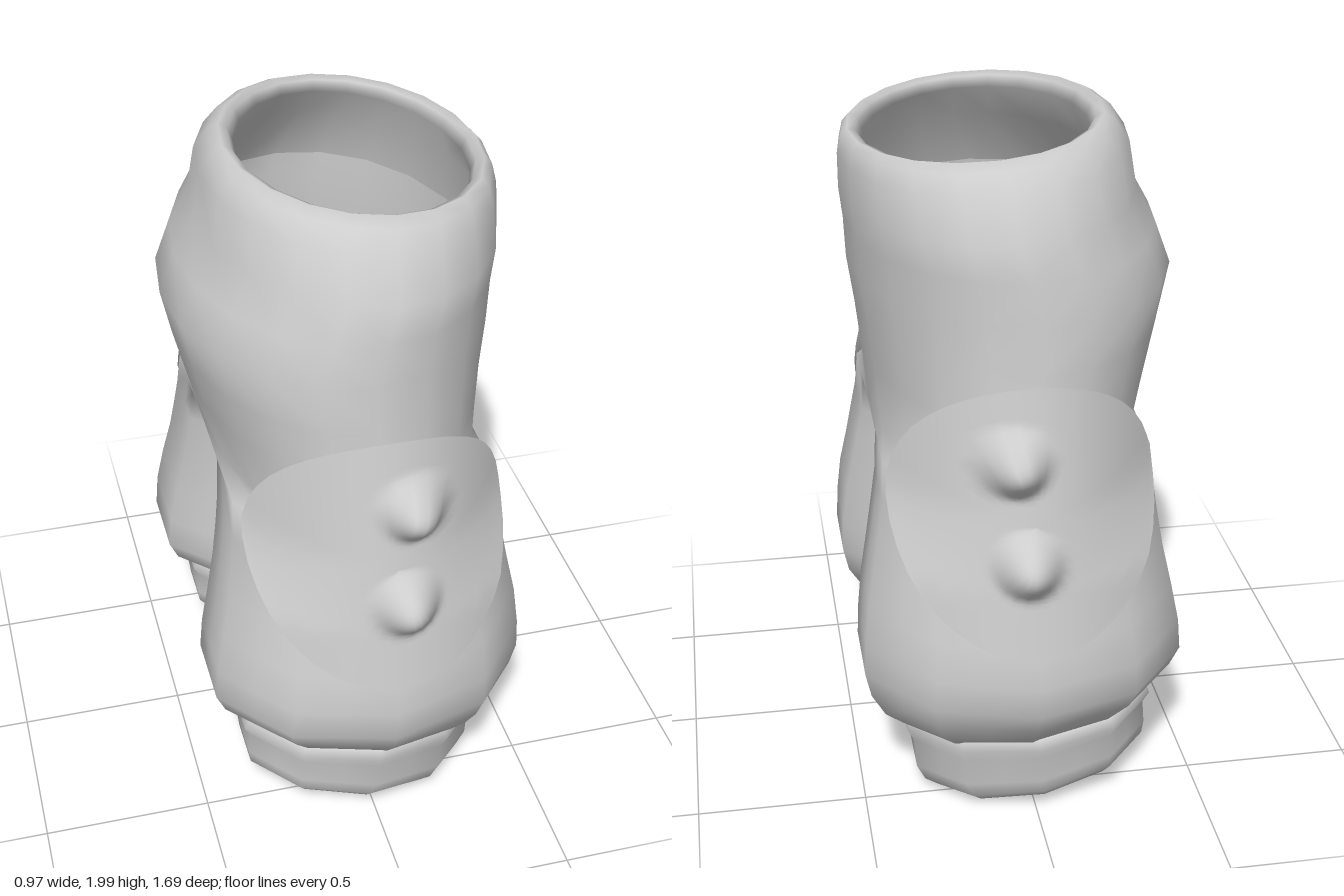
import * as THREE from 'three';
import { mergeGeometries, mergeVertices } from 'three/addons/utils/BufferGeometryUtils.js';

// Cross-section rows, top to bottom: [y, slope along x, cx, rx, zc, outer depth, inner depth]
const HIPS = [
  [1.64, 0, 0.008, 0.445, 0, 0.615, 0],
  [1.82, -0.04, 0.07, 0.37, 0, 0.53, 0],
  [1.93, -0.075, 0.08, 0.325, 0, 0.43, 0],
  [1.965, -0.075, 0.08, 0.34, 0, 0.435, 0],
  [1.975, -0.075, 0.08, 0.365, 0, 0.455, 0],
  [1.955, -0.075, 0.075, 0.39, 0, 0.495, 0],
  [1.9, -0.06, 0.06, 0.415, 0, 0.545, 0],
  [1.78, -0.02, 0.05, 0.425, 0, 0.61, 0],
  [1.68, 0, 0.015, 0.45, 0, 0.625, 0],
  [1.56, 0, -0.01, 0.47, 0, 0.637, 0],
  [1.42, 0, -0.005, 0.445, 0, 0.648, 0],
  [1.28, 0, 0.005, 0.42, 0, 0.665, 0],
  [1.1, 0, 0.02, 0.39, 0, 0.695, 0],
];
const LEGS = [
  [1.1, 0, 0.02, 0.39, 0, 0.695, 0],
  [1.08, 0, 0.02, 0.388, 0.26, 0.44, 0.253],
  [0.97, 0, 0.02, 0.395, 0.29, 0.43, 0.285],
  [0.88, 0, 0.022, 0.408, 0.31, 0.43, 0.304],
  [0.78, 0, 0.023, 0.424, 0.33, 0.425, 0.323],
  [0.66, 0, 0.022, 0.447, 0.355, 0.435, 0.348],
  [0.54, 0, 0.017, 0.465, 0.365, 0.445, 0.36],
  [0.44, 0, 0.015, 0.472, 0.365, 0.435, 0.357],
  [0.37, -0.02, 0.02, 0.45, 0.37, 0.39, 0.345],
  [0.31, -0.05, 0.025, 0.405, 0.385, 0.325, 0.32],
  [0.275, -0.06, 0.02, 0.36, 0.395, 0.285, 0.29],
  [0.29, -0.06, 0.01, 0.3, 0.395, 0.24, 0.24],
];
const CUFF = [
  [0.31, -0.06, 0.0, 0.3, 0.395, 0.24, 0.24],
  [0.29, -0.06, 0.0, 0.35, 0.395, 0.295, 0.285],
  [0.255, -0.07, -0.002, 0.37, 0.395, 0.305, 0.295],
  [0.215, -0.09, -0.004, 0.35, 0.395, 0.285, 0.28],
  [0.13, -0.12, -0.01, 0.35, 0.395, 0.28, 0.275],
  [0.08, -0.14, -0.02, 0.335, 0.395, 0.265, 0.26],
  [0.046, -0.15, -0.025, 0.3, 0.395, 0.235, 0.23],
  [0.06, -0.15, -0.025, 0.265, 0.395, 0.205, 0.2],
  [0.2, -0.1, 0.0, 0.28, 0.395, 0.22, 0.215],
  [0.3, -0.06, 0.01, 0.3, 0.395, 0.24, 0.24],
];
const STEP = Math.PI / 10;
const FLAT = Math.cos(STEP);

// Skin between rows over n steps of arc; side is +1 for the front half, -1 for the back.
// Hip rows are elliptical, leg and cuff rows (zc > 0) are ten-sided with flats facing x.
function loft(rows, n, side) {
  const pos = [], idx = [];
  for (const [y, slope, cx, rx, zc, zOut, zIn] of rows) {
    for (let j = 0; j <= n; j++) {
      const corner = j % 2 === 1;
      const sx = zc > 0 && corner ? 1 / FLAT : 1;
      const sz = zc > 0 && !corner ? FLAT : 1;
      const s = Math.sin(j * STEP) * sz;
      const x = cx + rx * sx * Math.cos(j * STEP);
      pos.push(x, y + slope * x, side * (zc + s * (s > 0 ? zOut : zIn)));
    }
  }
  for (let i = 0; i < rows.length - 1; i++) {
    for (let j = 0; j < n; j++) {
      const a = i * (n + 1) + j, b = a + n + 1;
      if (side > 0) idx.push(a, a + 1, b, b, a + 1, b + 1);
      else idx.push(a, b, a + 1, b, b + 1, a + 1);
    }
  }
  const g = new THREE.BufferGeometry();
  g.setAttribute('position', new THREE.Float32BufferAttribute(pos, 3));
  g.setIndex(idx);
  return g;
}

function weld(parts) {
  const g = mergeVertices(mergeGeometries(parts), 1e-4);
  g.computeVertexNormals();
  return g;
}

// Round knee patch wrapped across the leg, flatter towards its bottom, with two blunt spikes
const SPIKES = [[0.08, 1.2, 0.095], [0.05, 0.91, 0.085]];
function kneePatch(side) {
  const g = new THREE.RingGeometry(0.001, 0.385, 40, 26);
  g.deleteAttribute('uv');
  g.deleteAttribute('normal');
  const p = g.attributes.position;
  for (let i = 0; i < p.count; i++) {
    const dx = p.getX(i), x = dx + 0.025, y = p.getY(i) + 1.02;
    const wrap = THREE.MathUtils.clamp(1.85 - 3.2 * (1.05 - y), 1.15, 1.85);
    let z = 0.803 - 0.173 * (y - 0.65) - wrap * dx * dx;
    for (const [sx, sy, h] of SPIKES) {
      const d = Math.hypot(x - sx, y - sy) / 0.11;
      if (d < 1) z += h * Math.pow(1 - d * d, 1.8);
    }
    p.setXYZ(i, x, y, side * z);
  }
  if (side < 0) g.index.array.reverse();
  return weld([g]);
}

export function createModel() {
  const group = new THREE.Group();
  const cloth = new THREE.MeshStandardMaterial({ color: 0xcccccc, side: THREE.DoubleSide });
  cloth.name = 'light grey cloth';
  const add = (name, geometry) => {
    const mesh = new THREE.Mesh(geometry, cloth);
    mesh.name = name;
    group.add(mesh);
  };

  // Hips, waistband and both legs welded into one smooth garment
  const skins = [];
  for (const side of [1, -1]) skins.push(loft(HIPS, 10, side), loft(LEGS, 20, side));
  add('trousers', weld(skins));

  // Cuffs and knee patches, front and back
  for (const side of [1, -1]) {
    const label = side > 0 ? 'front' : 'back';
    add(label + 'Cuff', weld([loft(CUFF, 20, side)]));
    add(label + 'KneePatch', kneePatch(side));
  }
  return group;
}
